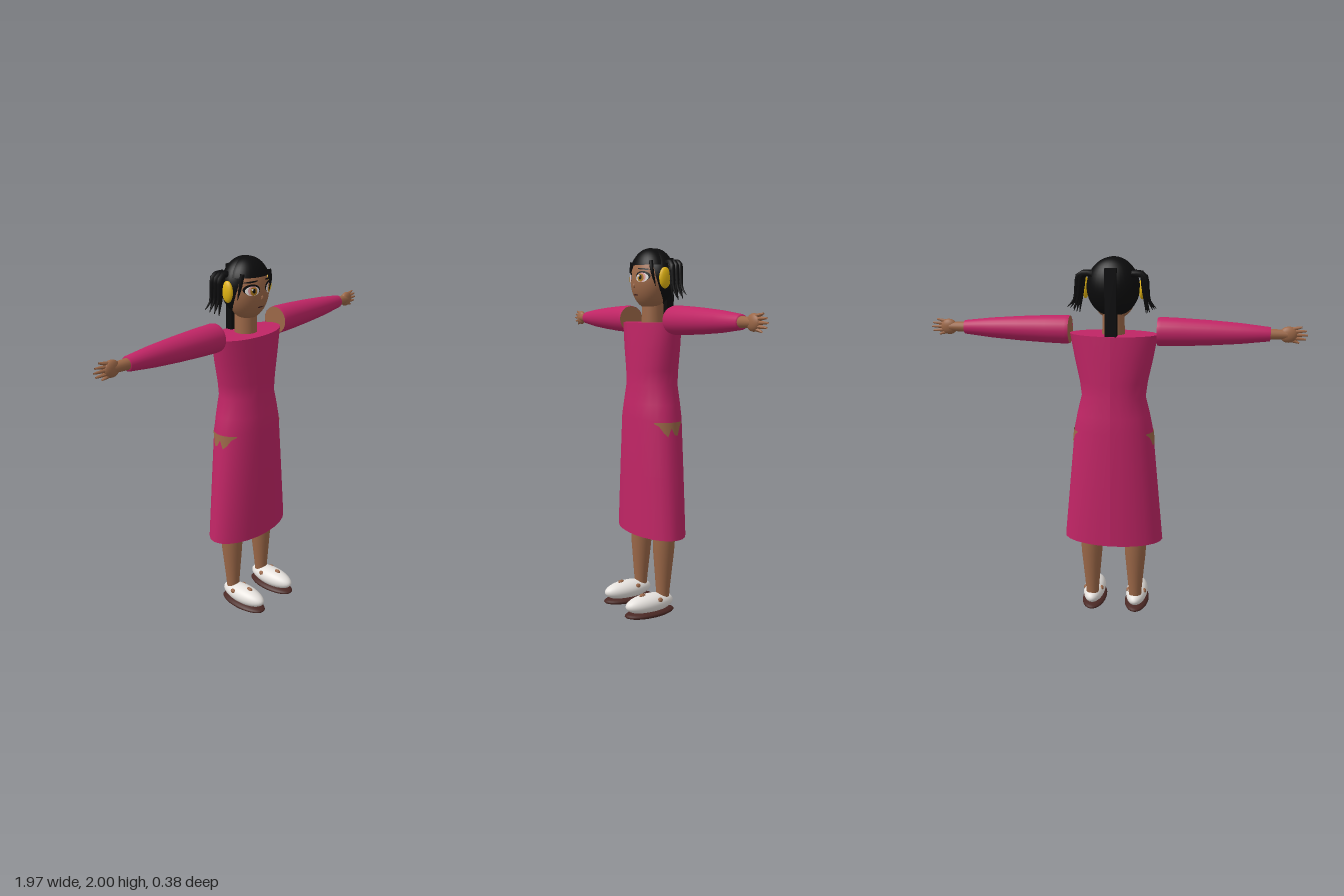
import * as THREE from 'three';

const mat = (name, color, side = THREE.FrontSide) => {
  const m = new THREE.MeshStandardMaterial({ color, side });
  m.name = name;
  return m;
};
const CZ = -0.045; // depth of the body axis

export function createModel() {
  const skin = mat('skin', 0x9c6848, THREE.DoubleSide);
  const dressPink = mat('dress magenta', 0xc02565, THREE.DoubleSide);
  const hair = mat('hair black', 0x0b0b0c);
  const gold = mat('gold', 0xe2b412);
  const white = mat('white', 0xe6e2de);
  const sole = mat('sole brown', 0x4a2824);
  const iris = mat('iris amber', 0xa8761a);
  const blush = mat('eye pink', 0xdf9a9a);

  const model = new THREE.Group();
  const add = (name, geo, material, parent = model) => {
    const mesh = new THREE.Mesh(geo, material);
    mesh.name = name;
    parent.add(mesh);
    return mesh;
  };
  const part = (name) => {
    const g = new THREE.Group();
    g.name = name;
    model.add(g);
    return g;
  };
  const ellipsoid = (c, r, ws = 32, hs = 24, thetaLen = Math.PI) =>
    new THREE.SphereGeometry(1, ws, hs, 0, Math.PI * 2, 0, thetaLen).scale(...r).translate(...c);
  // Move every vertex by a rule, then refresh the normals
  const reshape = (geo, rule) => {
    const p = geo.attributes.position, v = new THREE.Vector3();
    for (let i = 0; i < p.count; i++) {
      rule(v.fromBufferAttribute(p, i), i);
      p.setXYZ(i, v.x, v.y, v.z);
    }
    geo.computeVertexNormals();
    return geo;
  };
  // Tapered strand along a smooth curve, narrowing from r to r * end
  const strand = (pts, r, end = 0.1, sides = 8, n = 10) => {
    const curve = new THREE.CatmullRomCurve3(pts.map((q) => new THREE.Vector3(...q)));
    return reshape(new THREE.TubeGeometry(curve, n, r, sides), (v, i) => {
      const t = Math.floor(i / (sides + 1)) / n;
      const c = curve.getPointAt(t);
      v.sub(c).multiplyScalar(1 - (1 - end) * t * t).add(c);
    });
  };

  // Dress: oval rings [y, half width, half depth, centre z]
  const rings = [
    [0.46, 0.275, 0.147, -0.043], [0.8, 0.242, 0.146, -0.043], [1.1, 0.213, 0.143, -0.043],
    [1.18, 0.197, 0.136, -0.044], [1.28, 0.172, 0.127, -0.045], [1.36, 0.182, 0.126, -0.045],
    [1.48, 0.208, 0.126, -0.045], [1.61, 0.232, 0.122, -0.045],
  ];
  const ringAt = (y) => {
    let i = 0;
    while (i < rings.length - 2 && y > rings[i + 1][0]) i++;
    const a = rings[i], b = rings[i + 1], t = (y - a[0]) / (b[0] - a[0]);
    return a.map((n, k) => n + (b[k] - n) * t);
  };
  add('dress', reshape(
    new THREE.CylinderGeometry(1, 1, 1, 24, rings.length - 1).rotateY(Math.PI),
    (v) => {
      const [y, hx, hz, cz] = rings[Math.round((v.y + 0.5) * (rings.length - 1))];
      v.set(v.x * hx, y, v.z * hz + cz);
    }), dressPink);

  // Neck and head
  const HC = [0, 1.83, -0.035], HR = [0.12, 0.15, 0.1];
  const head = part('head');
  add('neck', new THREE.CylinderGeometry(0.056, 0.06, 0.16, 24).translate(0, 1.67, -0.05), skin, head);
  add('face', ellipsoid(HC, HR, 48, 36), skin, head);
  add('nose', ellipsoid([0, 1.803, 0.062], [0.008, 0.013, 0.008], 12, 8), skin, head);

  // Painted details: discs pressed onto the face
  const onFace = (name, cx, cy, rx, ry, lift, material, tilt = 0) =>
    add(name, reshape(new THREE.RingGeometry(0.01, 1, 24, 4), (v) => {
      const x = cx + v.x * rx, y = cy + v.y * ry + v.x * rx * tilt;
      const k = 1 - (x / HR[0]) ** 2 - ((y - HC[1]) / HR[1]) ** 2;
      v.set(x, y, HC[2] + HR[2] * Math.sqrt(Math.max(k, 0.01)) + lift);
    }), material, head);
  onFace('mouth', 0, 1.755, 0.022, 0.004, 0.003, sole);
  for (const s of [-1, 1]) {
    onFace('lashes', s * 0.06, 1.85, 0.04, 0.027, 0.002, hair);
    onFace('eyeWhite', s * 0.06, 1.844, 0.034, 0.024, 0.0035, white);
    onFace('eyePink', s * 0.06, 1.845, 0.023, 0.024, 0.005, blush);
    onFace('iris', s * 0.058, 1.843, 0.017, 0.021, 0.0065, iris);
    onFace('pupil', s * 0.058, 1.845, 0.008, 0.011, 0.008, hair);
    onFace('eyeGlint', s * 0.058 - 0.008, 1.853, 0.005, 0.005, 0.009, white);
    onFace('eyebrow', s * 0.06, 1.888, 0.034, 0.004, 0.003, hair, -s * 0.1);
  }

  // Hair: back mass, fringe cap, tail, side locks and loose bunches
  const hairdo = part('hair');
  add('hairBack', ellipsoid([0, 1.85, -0.06], [0.137, 0.15, 0.1]), hair, hairdo);
  add('fringe', ellipsoid([0, 1.85, -0.036], [0.13, 0.15, 0.106], 32, 12, 1.17), hair, hairdo);
  add('tail', new THREE.BoxGeometry(0.06, 0.34, 0.04).translate(0, 1.78, -0.142), hair, hairdo);
  for (const s of [-1, 1]) {
    add('sideLock', strand([[s * 0.1, 1.93, 0.02], [s * 0.113, 1.87, 0.018], [s * 0.116, 1.8, 0]], 0.011), hair, hairdo);
    for (let i = 0; i < 6; i++) {
      const z = -0.07 - (i % 3) * 0.022, o = i * 0.011;
      add('bunchStrand', strand([
        [s * 0.1, 1.92, z], [s * (0.148 + o * 0.3), 1.915, z], [s * (0.158 + o * 0.4), 1.85, z],
        [s * (0.165 + o * 0.5), 1.79, z], [s * (0.172 + o), 1.72 + o * 0.6, z - 0.005],
      ], 0.016), hair, hairdo);
    }
    add('earPiece', ellipsoid([s * 0.147, 1.842, -0.038], [0.018, 0.055, 0.034], 20, 14), gold, hairdo);
  }

  for (const s of [-1, 1]) {
    const label = s > 0 ? 'left' : 'right';

    // Arm: sleeve with a skin disc at the shoulder, wrist, palm and fingers
    const arm = part(label + 'Arm');
    const profile = [[0.072, 0.23], [0.075, 0.25], [0.072, 0.35], [0.064, 0.5], [0.053, 0.65], [0.036, 0.8], [0.022, 0.801]];
    add('sleeve', new THREE.LatheGeometry(profile.map((p) => new THREE.Vector2(...p)), 24)
      .rotateZ(-s * Math.PI / 2).translate(0, 1.625, CZ), dressPink, arm);
    add('shoulder', new THREE.CircleGeometry(0.072, 24)
      .rotateY(-s * Math.PI / 2).translate(s * 0.231, 1.625, CZ), skin, arm);
    add('wrist', new THREE.CylinderGeometry(0.024, 0.028, 0.1, 16)
      .rotateZ(-s * Math.PI / 2).translate(s * 0.835, 1.625, CZ), skin, arm);
    add('palm', ellipsoid([s * 0.89, 1.625, CZ], [0.045, 0.041, 0.023], 20, 14), skin, arm);
    const tips = [[0.955, 1.664], [0.978, 1.645], [0.986, 1.624], [0.978, 1.603], [0.945, 1.584]];
    tips.forEach(([x, y], i) => add('finger', strand([
      [s * 0.89, 1.648 - i * 0.012, CZ], [s * 0.925, (1.65 - i * 0.013 + y) / 2, CZ], [s * x, y, CZ - 0.003],
    ], 0.0105, 0.4), skin, arm));

    // Hip skin showing through the dress: a notched patch bent round its side
    const edge = [1.084, 1.07, 1.035, 1.015, 1.06, 1.022, 1.018, 1.065, 1.084];
    add(label + 'HipPatch', reshape(new THREE.PlaneGeometry(1, 1, 16, 4), (v) => {
      const t = (v.x + 0.5) * 8, k = Math.min(Math.floor(t), 7);
      const low = edge[k] + (edge[k + 1] - edge[k]) * (t - k);
      const y = low + (1.09 - low) * (v.y + 0.5), z = 0.043 - (v.x + 0.5) * 0.162;
      const [, hx, hz, cz] = ringAt(y);
      v.set(s * (hx * Math.sqrt(1 - ((z - cz) / hz) ** 2) + 0.003), y, z);
    }), skin);

    // Leg and shoe
    const leg = part(label + 'Leg');
    const calf = [[0.035, 0.08], [0.038, 0.14], [0.047, 0.24], [0.058, 0.36], [0.063, 0.46], [0.068, 0.7]];
    add('lowerLeg', reshape(new THREE.LatheGeometry(calf.map((p) => new THREE.Vector2(...p)), 24),
      (v) => v.add(new THREE.Vector3(s * 0.124, 0, -0.043 - v.y * 0.02))), skin, leg);
    add('shoe', ellipsoid([s * 0.125, 0.077, 0.04], [0.061, 0.053, 0.147]), white, leg);
    add('sole', ellipsoid([s * 0.125, 0.024, 0.04], [0.069, 0.024, 0.152], 32, 12), sole, leg);
    // Bits of foot poking through the shoe
    const bits = [[0.125, 0.125, 0.085, 0.013, 0.02], [0.172, 0.1, 0.0, 0.014, 0.018], [0.079, 0.1, 0.0, 0.014, 0.018]];
    for (const [x, y, z, h, d] of bits)
      add('footBit', ellipsoid([s * x, y, z], [0.012, h, d], 8, 6).translate(0, 0, 0), skin, leg);
  }
  return model;
}
